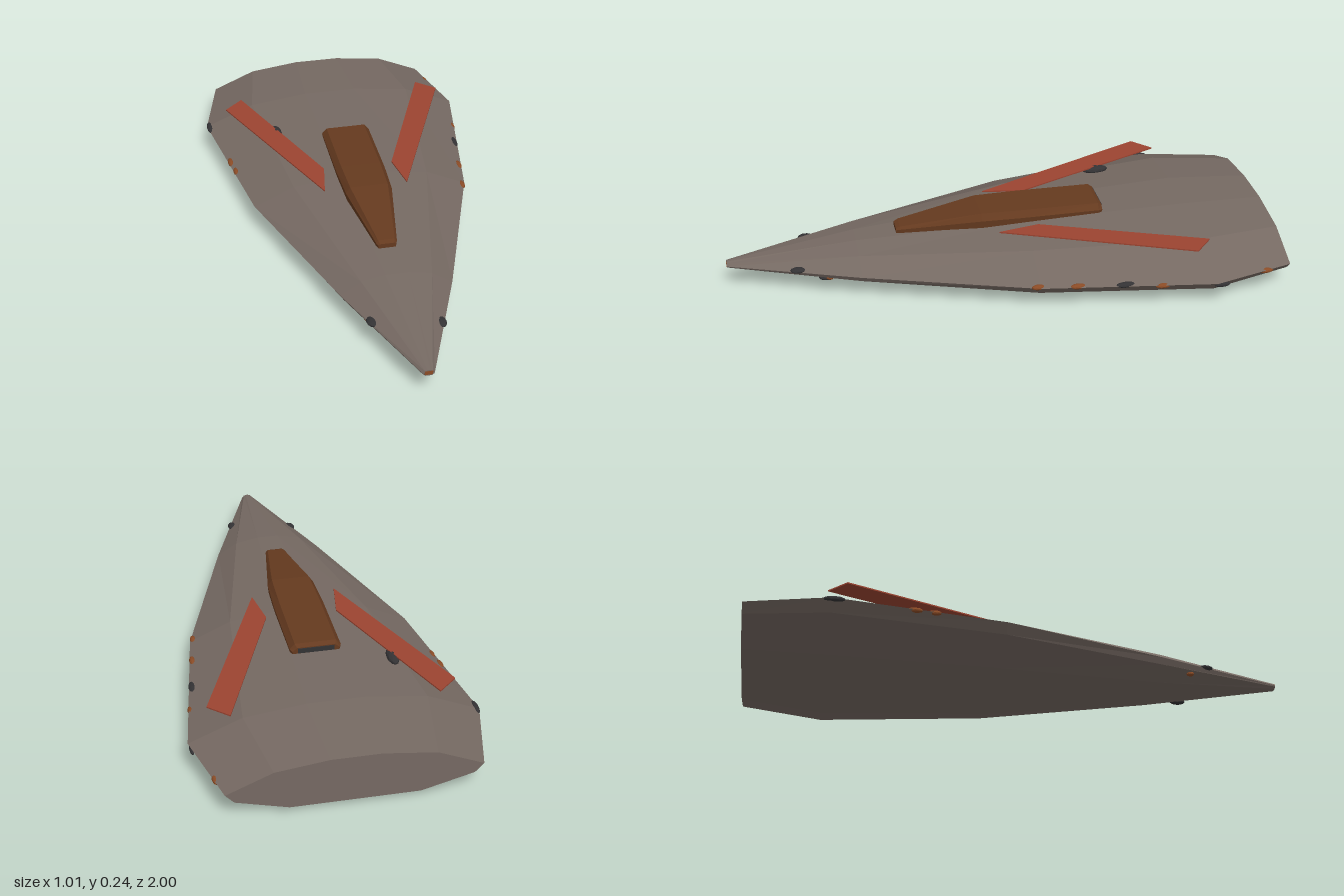
import * as THREE from 'three';

const flat = (name, color) => {
  const m = new THREE.MeshStandardMaterial({ color, flatShading: true });
  m.name = name;
  return m;
};

// Skin a list of [z, ring] sections, front to back; rings run anticlockwise seen from the front
function loft(sections) {
  const n = sections[0][1].length;
  const pos = [];
  const put = (s, j) => {
    const [z, ring] = sections[s];
    const p = ring[j % n];
    pos.push(p[0], p[1], z);
  };
  const tri = (...corners) => corners.forEach(([s, j]) => put(s, j));
  const last = sections.length - 1;
  for (let s = 0; s < last; s++) {
    for (let j = 0; j < n; j++) {
      tri([s, j], [s + 1, j], [s + 1, j + 1]);
      tri([s, j], [s + 1, j + 1], [s, j + 1]);
    }
  }
  for (let j = 1; j < n - 1; j++) {
    tri([0, 0], [0, j], [0, j + 1]);
    tri([last, 0], [last, j + 1], [last, j]);
  }
  const g = new THREE.BufferGeometry();
  g.setAttribute('position', new THREE.Float32BufferAttribute(pos, 3));
  g.computeVertexNormals();
  return g;
}

// Mirror a right half (bottom to top) into a closed ring
const mirrorRing = (half) => [...half, ...half.slice().reverse().map(([x, y]) => [-x, y])];

export function createModel() {
  const group = new THREE.Group();
  const hullGrey = flat('hull grey', 0x756962);
  const stripRed = flat('strip red', 0x9c4431);
  const canopyBrown = flat('canopy brown', 0x653a1f);
  const darkGrey = flat('dark grey', 0x333234);
  const rust = flat('rust', 0x8a4b26);

  const add = (name, geometry, material) => {
    const mesh = new THREE.Mesh(geometry, material);
    mesh.name = name;
    group.add(mesh);
    return mesh;
  };

  // Hull: z, half width, bottom y, top y, with a sharp chine at y = 0.1
  const chine = 0.1;
  const hull = [
    [1, 0.02, 0.09, 0.112],
    [0.53, 0.2, 0.045, 0.165],
    [-0.08, 0.405, 0.014, 0.194],
    [-0.7, 0.505, 0, 0.208],
    [-1, 0.43, 0.02, 0.192],
  ].map(([z, w, lo, hi]) => {
    const down = chine - lo, up = hi - chine;
    return [z, mirrorRing([
      [w * 0.51, lo], [w * 0.93, chine - down * 0.4], [w, chine],
      [w * 0.63, chine + up * 0.73], [w * 0.2, chine + up * 0.98],
    ])];
  });
  add('hull', loft(hull), hullGrey);

  // Canopy: z, half width, shoulder y, top half width, top y
  const canopy = [
    [0.38, 0.032, 0.182, 0.026, 0.188],
    [0.365, 0.038, 0.186, 0.03, 0.195],
    [0.07, 0.086, 0.212, 0.07, 0.236],
    [-0.08, 0.092, 0.212, 0.074, 0.235],
    [-0.37, 0.092, 0.21, 0.074, 0.231],
    [-0.385, 0.085, 0.208, 0.068, 0.222],
  ].map(([z, w, shoulder, topW, top]) => [z, mirrorRing([
    [w * 0.94, 0.165], [w, shoulder], [topW, top],
  ])]);
  add('canopy', loft(canopy), canopyBrown);
  add('canopyRearPanel', new THREE.BoxGeometry(0.13, 0.018, 0.004), darkGrey).position.set(0, 0.21, -0.386);

  // Swept red strips hovering over the shoulders
  for (const side of [1, -1]) {
    const outline = [[0.43, -0.645], [0.36, -0.71], [0.13, -0.13], [0.155, 0.02]];
    const shape = new THREE.Shape(outline.map(([x, z]) => new THREE.Vector2(side * x, -z)));
    const g = new THREE.ExtrudeGeometry(shape, { depth: 0.005, bevelEnabled: false });
    g.rotateX(-Math.PI / 2).translate(0, 0.197, 0);
    add(side > 0 ? 'leftStrip' : 'rightStrip', g, stripRed);
  }

  // Small lumps breaking through the hull skin: x, y, z, half sizes
  const lump = new THREE.IcosahedronGeometry(1, 1);
  const lumps = (name, material, list) => list.forEach(([x, y, z, sx, sy, sz]) => {
    const m = add(name, lump, material);
    m.position.set(x, y, z);
    m.scale.set(sx, sy, sz);
  });
  lumps('darkLump', darkGrey, [
    [-0.26, 0.187, -0.45, 0.022, 0.016, 0.05],
    [-0.494, 0.1, -0.69, 0.012, 0.01, 0.04],
    [0.44, 0.1, -0.38, 0.014, 0.01, 0.04],
    [0.495, 0.09, -0.72, 0.008, 0.01, 0.03],
    [-0.122, 0.104, 0.7, 0.022, 0.01, 0.03],
    [0.105, 0.104, 0.75, 0.018, 0.01, 0.03],
    [0.12, 0.072, 0.65, 0.015, 0.012, 0.03],
  ]);
  lumps('rustLump', rust, [
    [-0.448, 0.1, -0.41, 0.012, 0.01, 0.03],
    [-0.438, 0.1, -0.34, 0.01, 0.01, 0.025],
    [0.415, 0.1, -0.21, 0.012, 0.01, 0.03],
    [0.392, 0.1, -0.07, 0.012, 0.01, 0.025],
    [0.465, 0.095, -0.51, 0.012, 0.01, 0.03],
    [0.445, 0.095, -0.9, 0.012, 0.01, 0.03],
    [0.13, 0.075, 0.64, 0.01, 0.01, 0.015],
    [-0.13, 0.075, 0.64, 0.01, 0.01, 0.015],
  ]);

  // Nose tip plate
  add('noseTip', new THREE.BoxGeometry(0.028, 0.014, 0.004), rust).position.set(0, 0.101, 0.999);

  return group;
}
